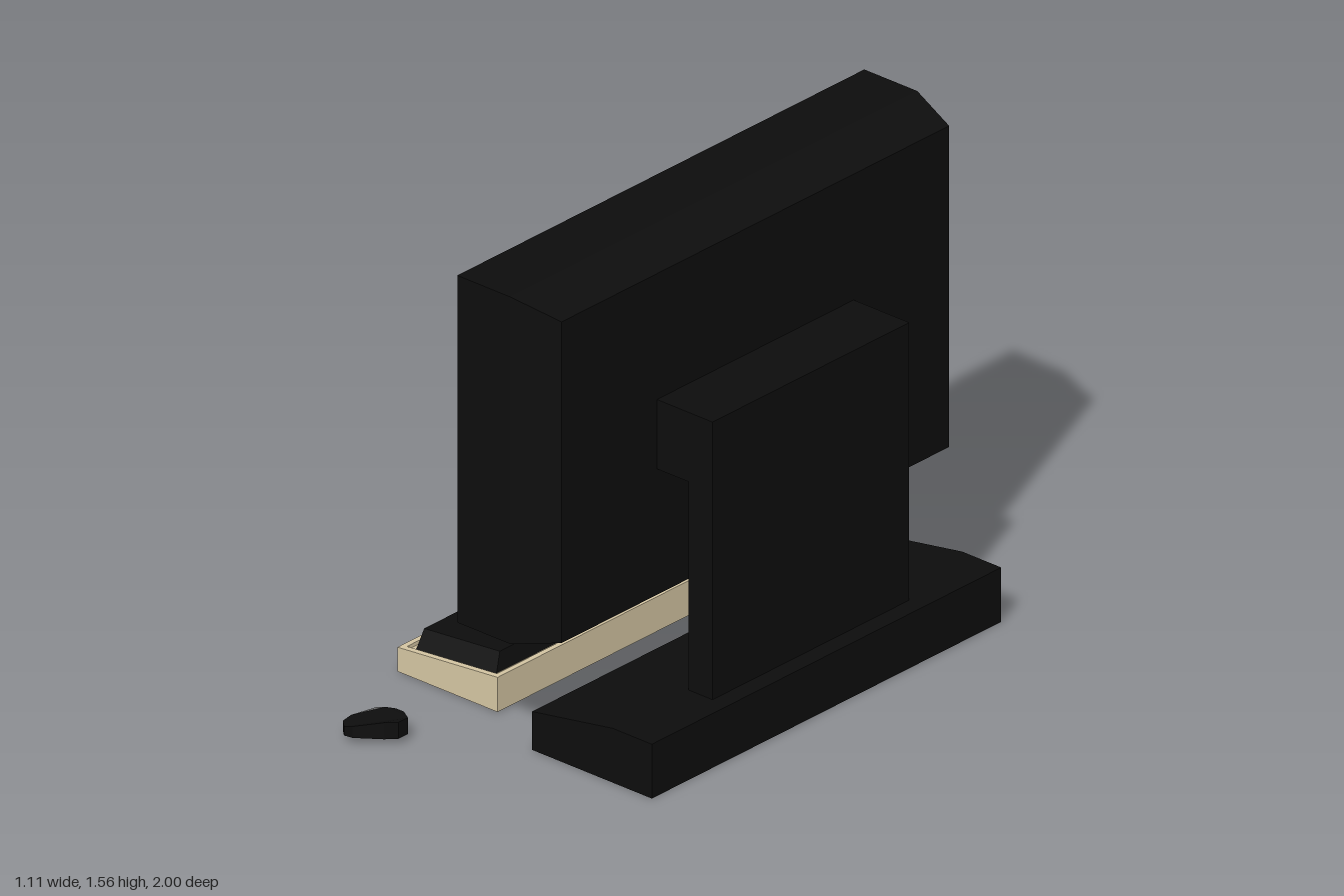
import * as THREE from 'three';

const black = new THREE.MeshStandardMaterial({ color: 0x0d0d0d });
const tan = new THREE.MeshStandardMaterial({ color: 0xd5c6a3 });

// Moves every vertex by a rule and gives the result hard edges.
function reshape(geometry, rule) {
  const geo = geometry.index ? geometry.toNonIndexed() : geometry;
  const pos = geo.attributes.position;
  const p = new THREE.Vector3();
  for (let i = 0; i < pos.count; i++) {
    p.fromBufferAttribute(pos, i);
    rule(p);
    pos.setXYZ(i, p.x, p.y, p.z);
  }
  geo.computeVertexNormals();
  return geo;
}

const toShape = points => new THREE.Shape(points.map(([a, b]) => new THREE.Vector2(a, b)));

const rect = (a0, b0, a1, b1) => [[a0, b0], [a1, b0], [a1, b1], [a0, b1]];

// Rectangle with a rectangular opening, inset by the border width.
function frameShape(a0, b0, a1, b1, border) {
  const shape = toShape(rect(a0, b0, a1, b1));
  shape.holes.push(toShape(rect(a0 + border, b0 + border, a1 - border, b1 - border)));
  return shape;
}

const extrude = (shape, depth) => new THREE.ExtrudeGeometry(shape, { depth, bevelEnabled: false });

// Side profile in x and y, swept from z0 to z1.
const sweep = (points, z0, z1) => extrude(toShape(points), z1 - z0).translate(0, 0, z0);

export function createModel() {
  const model = new THREE.Group();
  const add = (parent, name, geometry, material) => {
    const mesh = new THREE.Mesh(geometry, material);
    mesh.name = name;
    parent.add(mesh);
  };
  const group = name => {
    const g = new THREE.Group();
    g.name = name;
    model.add(g);
    return g;
  };

  // Monitor: tapered housing, deep bezel and recessed screen, facing -x
  const monitor = group('monitor');
  const midY = 0.985, midZ = -0.1, recessX = -0.02;
  add(monitor, 'housing', reshape(new THREE.BoxGeometry(2, 1.15, 1.8, 2, 1, 1), p => {
    const inset = p.x > 0.5 ? 0.043 : 0;
    p.x = p.x < -0.5 ? recessX : p.x > 0.5 ? 0.275 : 0.11;
    p.y += midY - Math.sign(p.y) * inset;
    p.z += midZ - Math.sign(p.z) * inset;
  }), black);
  add(monitor, 'bezel', extrude(frameShape(-1, 0.41, 0.8, 1.56, 0.04), 0.08)
    .rotateY(-Math.PI / 2).translate(recessX, 0, 0), black);
  add(monitor, 'screen', new THREE.PlaneGeometry(1.72, 1.07)
    .rotateY(-Math.PI / 2).translate(recessX - 0.003, midY, midZ), tan);

  // Stand: wedge foot and a hooked neck
  const stand = group('stand');
  add(stand, 'foot', sweep(
    [[0.08, 0], [0.555, 0], [0.555, 0.18], [0.4, 0.18], [0.08, 0.127]], -0.875, 0.67), black);
  add(stand, 'neck', sweep(
    [[0.4, 0.17], [0.495, 0.17], [0.495, 1.1], [0.27, 1.1], [0.27, 0.87], [0.4, 0.87]],
    -0.535, 0.335), black);

  // Keyboard: sloping tray, raised rim and a bevelled key block
  const keyboard = group('keyboard');
  const x0 = -0.557, x1 = -0.16, z0 = -0.77, z1 = 0.555, groove = 0.012;
  const trayTop = x => 0.08 + (x - x0) * 0.088;
  add(keyboard, 'tray', sweep(
    [[x0, 0], [x1, 0], [x1, trayTop(x1) - groove], [x0, trayTop(x0) - groove]], z0, z1), tan);
  add(keyboard, 'trayRim', reshape(
    extrude(frameShape(x0, -z1, x1, -z0, 0.02), groove).rotateX(-Math.PI / 2),
    p => { p.y += trayTop(p.x) - groove; }), tan);
  add(keyboard, 'keyBlock', reshape(new THREE.BoxGeometry(2, 2, 2), p => {
    const top = p.y > 0;
    p.x = p.x < 0 ? (top ? -0.513 : -0.518) : (top ? -0.213 : -0.2);
    p.z = -0.107 + p.z * (top ? 0.593 : 0.622);
    p.y = trayTop(p.x) + (top ? 0.047 : -groove);
  }), black);

  // Mouse: rounded outline, lower towards its tail
  const outline = [[-0.3, 0.847], [-0.27, 0.847], [-0.235, 0.868], [-0.235, 0.91],
    [-0.265, 0.94], [-0.34, 0.995], [-0.37, 1], [-0.397, 0.975], [-0.395, 0.94],
    [-0.35, 0.88], [-0.33, 0.86]].map(([x, z]) => [x, -z]);
  add(model, 'mouse', reshape(extrude(toShape(outline), 1).rotateX(-Math.PI / 2), p => {
    const along = ((p.x + 0.385) * 0.135 + (0.985 - p.z) * 0.125) / 0.034;
    p.y = p.y < 0.5 ? 0.02 : THREE.MathUtils.clamp(0.05 + along * 0.055, 0.05, 0.075);
  }), black);

  return model;
}
